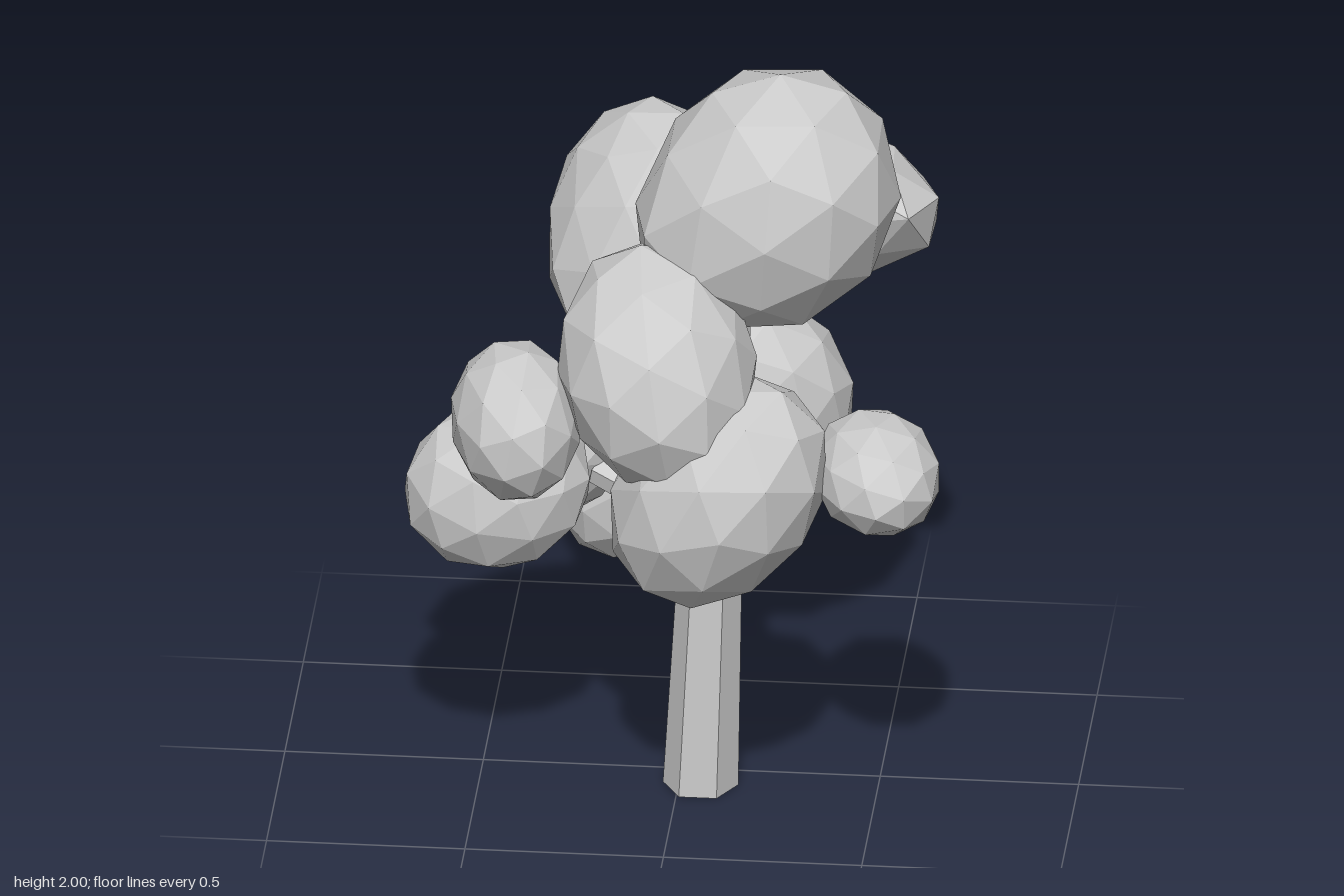
import * as THREE from 'three';

const material = new THREE.MeshStandardMaterial({ color: 0xcccccc, flatShading: true });
const openMaterial = new THREE.MeshStandardMaterial({ color: 0xcccccc, flatShading: true, side: THREE.DoubleSide });

// Low-poly leaf clump: a sphere stretched (or, if negative, flattened) along an axis,
// drawn out to a tip, then fitted to a box
function leafClump({ name, min, max, axis = [0, 1, 0], stretch = 0, tip = [0, 1, 0], pull = 0 }, index) {
  const geometry = new THREE.IcosahedronGeometry(1, 1);
  geometry.rotateY(index * 0.7).rotateX(index * 1.1);
  const along = new THREE.Vector3(...axis).normalize();
  const toTip = new THREE.Vector3(...tip).normalize();
  const pos = geometry.attributes.position;
  const v = new THREE.Vector3();
  for (let i = 0; i < pos.count; i++) {
    v.fromBufferAttribute(pos, i);
    const t = Math.max(0, v.dot(toTip));
    const s = v.dot(along);
    v.addScaledVector(along, stretch * s).addScaledVector(toTip, pull * t ** 4);
    pos.setXYZ(i, v.x, v.y, v.z);
  }
  geometry.computeBoundingBox();
  const size = geometry.boundingBox.getSize(new THREE.Vector3());
  geometry.center();
  geometry.scale(...['x', 'y', 'z'].map((k, i) => (max[i] - min[i]) / size[k]));
  geometry.translate(...min.map((m, i) => (m + max[i]) / 2));
  geometry.computeVertexNormals();
  const mesh = new THREE.Mesh(geometry, material);
  mesh.name = name;
  return mesh;
}

// Tapered limb between two points
function limb(name, from, to, r0, r1, sides) {
  const a = new THREE.Vector3(...from);
  const dir = new THREE.Vector3(...to).sub(a);
  const geometry = new THREE.CylinderGeometry(r1, r0, dir.length(), sides);
  geometry.translate(0, dir.length() / 2, 0);
  const mesh = new THREE.Mesh(geometry, material);
  mesh.quaternion.setFromUnitVectors(new THREE.Vector3(0, 1, 0), dir.normalize());
  mesh.position.copy(a);
  mesh.name = name;
  return mesh;
}

// Six-sided trunk, open at the foot, lofted through a few rings: [x, y, z, radius]
function trunk() {
  const rings = [[0.055, 0, 0.08, 0.095], [0.085, 0.8, 0.08, 0.077], [0.125, 1.35, 0.075, 0.058], [0.15, 1.45, 0.075, 0.05]];
  const sides = 6;
  const points = [], index = [];
  for (const [x, y, z, r] of rings) {
    for (let i = 0; i < sides; i++) {
      const a = (i / sides) * Math.PI * 2;
      points.push(x + r * Math.cos(a), y, z + r * Math.sin(a));
    }
  }
  for (let j = 0; j < rings.length - 1; j++) {
    for (let i = 0; i < sides; i++) {
      const a = j * sides + i, b = j * sides + (i + 1) % sides;
      index.push(a, a + sides, b, b, a + sides, b + sides);
    }
  }
  const geometry = new THREE.BufferGeometry();
  geometry.setAttribute('position', new THREE.Float32BufferAttribute(points, 3));
  geometry.setIndex(index);
  geometry.computeVertexNormals();
  const mesh = new THREE.Mesh(geometry, openMaterial);
  mesh.name = 'trunk';
  return mesh;
}

export function createModel() {
  const tree = new THREE.Group();
  tree.name = 'tree';
  tree.add(trunk());

  // Foliage
  const clumps = [
    { name: 'crownClump', min: [-0.11, 1.3, -0.27], max: [0.56, 2, 0.41], axis: [0.6, 0.5, 0.3], stretch: 0.15, tip: [-0.75, -0.3, 0.4], pull: 0.2 },
    { name: 'upperFrontClump', min: [-0.28, 1.01, 0.05], max: [0.22, 1.6, 0.64], axis: [-0.3, 1, -0.7], stretch: 0.25 },
    { name: 'lowerFrontClump', min: [-0.14, 0.69, 0.13], max: [0.4, 1.28, 0.67], axis: [0.7, 1, 0.1], stretch: 0.35 },
    { name: 'leftFrontClump', min: [0.36, 0.87, 0.1], max: [0.68, 1.16, 0.54], axis: [0.7, 0, 1], stretch: 0.2 },
    { name: 'rightUpperClump', min: [-0.55, 0.95, 0.14], max: [-0.22, 1.34, 0.6], axis: [0.6, 0, 1], stretch: 0.2 },
    { name: 'rightMiddleClump', min: [-0.68, 0.67, 0.02], max: [-0.21, 1.1, 0.41], axis: [0.5, 0.7, -0.5], stretch: 0.1 },
    { name: 'rightLowClump', min: [-0.68, 0.55, -0.37], max: [-0.1, 1.03, 0], axis: [1, 0.7, 0.1], stretch: 0.65 },
    { name: 'backLeftClump', min: [-0.05, 0.58, -0.67], max: [0.39, 1.1, -0.22], axis: [-0.4, 1, 0.4], stretch: 0.25, tip: [-0.6, 0.4, 0.6], pull: 0.15 },
    { name: 'backLowClump', min: [-0.36, 0.42, -0.55], max: [-0.03, 0.82, -0.17], tip: [0.4, 1, 0.6], pull: 0.45 },
    { name: 'upperBackRightClump', min: [-0.36, 1.17, -0.51], max: [0.11, 1.69, 0], axis: [-0.6, 0.5, 0.6], stretch: -0.38, tip: [-0.6, -0.7, 0.5], pull: 0.3 },
    { name: 'upperBackLeftClump', min: [0.04, 1.15, -0.65], max: [0.62, 1.63, -0.17], axis: [0, -0.7, 0.7], stretch: -0.33, tip: [0.75, 0.1, 0.75], pull: 0.5 },
  ];
  clumps.forEach((c, i) => tree.add(leafClump(c, i)));

  // Branches from the trunk into the clumps
  const branches = [
    [0.08, 0.55, 0.08, 0.16, 0.78, -0.4],
    [0.09, 0.8, 0.08, 0.48, 1.02, 0.3],
    [0.08, 0.7, 0.06, -0.22, 0.8, -0.06],
    [0.1, 1.08, 0.08, -0.36, 1.16, 0.35],
    [0.12, 1.28, 0.07, 0.28, 1.49, -0.35],
    [0.12, 1.2, 0.07, -0.1, 1.4, -0.22],
    [0.1, 1.1, 0.08, -0.02, 1.3, 0.3],
    [0.09, 0.8, 0.08, 0.12, 0.98, 0.35],
  ];
  branches.forEach((b, i) => tree.add(limb(`branch${i + 1}`, b.slice(0, 3), b.slice(3), 0.045, 0.038, 5)));
  return tree;
}
